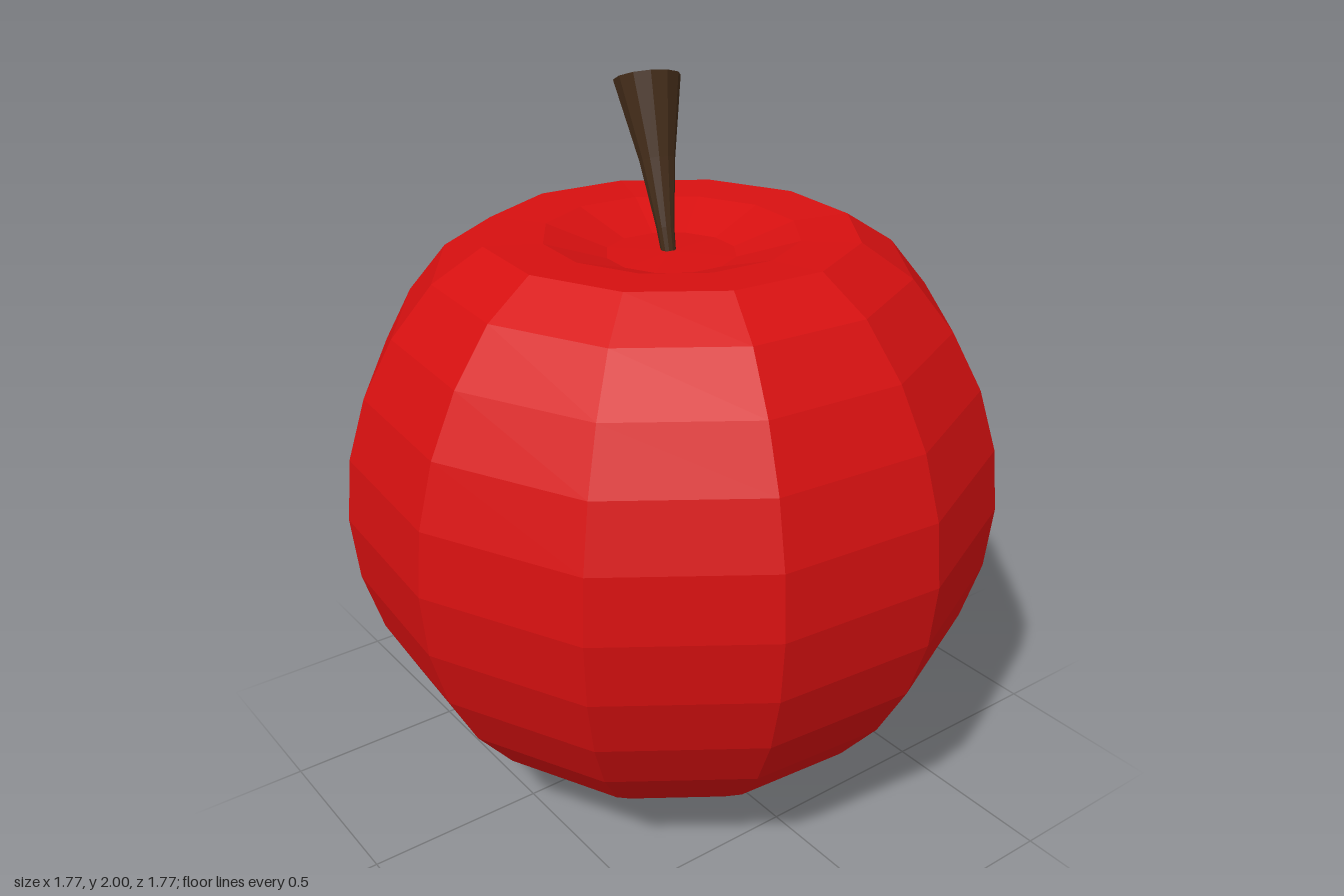
import * as THREE from 'three';

const R = 0.9, CENTRE = 0.883, SIDES = 12;

// Faceted fruit body: a sphere profile with an open base and a dimpled top
function makeBody() {
  const profile = [];
  for (let k = -7; k <= 4; k++) {
    const a = k * Math.PI / 16;
    profile.push(new THREE.Vector2(R * Math.cos(a), CENTRE + R * Math.sin(a)));
  }
  profile.push(
    new THREE.Vector2(0.5, 1.607),
    new THREE.Vector2(0.344, 1.6),
    new THREE.Vector2(0.175, 1.545),
    new THREE.Vector2(0, 1.55)
  );
  profile[0].y = 0;
  const body = new THREE.Mesh(
    new THREE.LatheGeometry(profile, SIDES, 0.18, Math.PI * 2),
    new THREE.MeshStandardMaterial({ color: 0xd61010, flatShading: true, side: THREE.DoubleSide })
  );
  body.name = 'fruitBody';
  return body;
}

// Bent stem: a cylinder whose rings follow a curve and widen upwards
function makeStem() {
  const rings = [
    { c: [-0.012, 1.545, 0], r: 0.02, tilt: [-0.05, 0.3] },
    { c: [-0.03, 1.605, -0.003], r: 0.024, tilt: [-0.08, 0.35] },
    { c: [-0.095, 1.77, -0.025], r: 0.048, tilt: [-0.14, 0.38] },
    { c: [-0.178, 1.967, -0.053], r: 0.09, tilt: [-0.17, 0.38] }
  ];
  const last = rings.length - 1;
  const geo = new THREE.CylinderGeometry(1, 1, 1, SIDES, last);
  const pos = geo.attributes.position;
  const v = new THREE.Vector3();
  for (let i = 0; i < pos.count; i++) {
    const ring = rings[Math.round((pos.getY(i) + 0.5) * last)];
    v.set(pos.getX(i) * ring.r, 0, pos.getZ(i) * ring.r);
    v.applyEuler(new THREE.Euler(ring.tilt[0], 0, ring.tilt[1]));
    v.add(new THREE.Vector3(...ring.c));
    pos.setXYZ(i, v.x, v.y, v.z);
  }
  geo.computeVertexNormals();
  const stem = new THREE.Mesh(
    geo,
    new THREE.MeshStandardMaterial({ color: 0x422b18, flatShading: true })
  );
  stem.name = 'stem';
  return stem;
}

export function createModel() {
  const group = new THREE.Group();
  group.name = 'apple';
  group.add(makeBody(), makeStem());
  return group;
}
